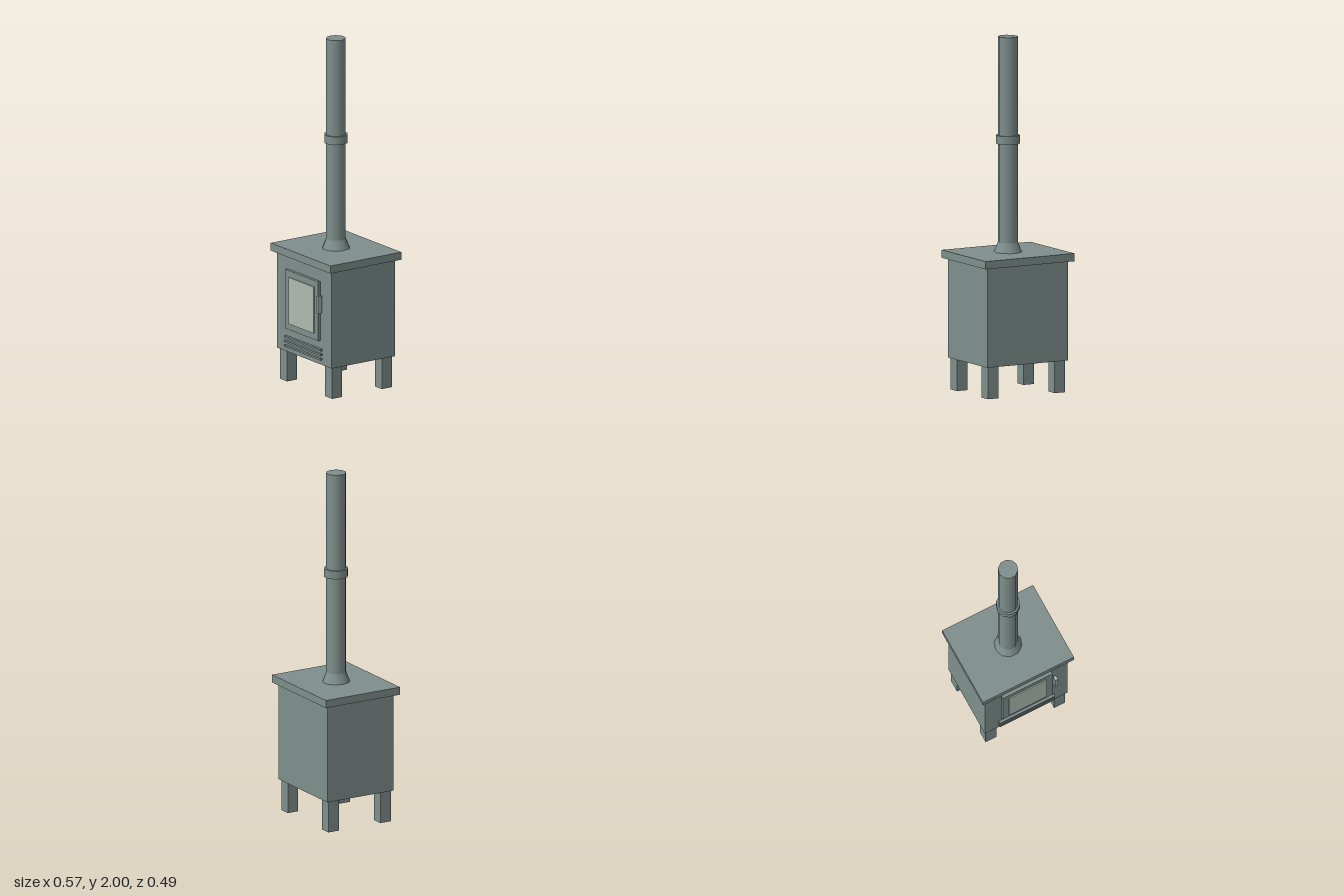
import * as THREE from 'three';

export function createModel() {
  const stove = new THREE.Group();
  stove.name = 'stove';

  const iron = new THREE.MeshStandardMaterial({ name: 'grey iron', color: 0x7f8f8d });
  const pane = new THREE.MeshStandardMaterial({ name: 'pale glass', color: 0xb0bab0 });
  const steel = new THREE.MeshStandardMaterial({ name: 'light steel', color: 0xa5b4af });

  const add = (name, geometry, material) => {
    const mesh = new THREE.Mesh(geometry, material);
    mesh.name = name;
    stove.add(mesh);
    return mesh;
  };

  // Box given by its extents on each axis
  const box = (name, [x0, x1], [y0, y1], [z0, z1], material = iron) =>
    add(name, new THREE.BoxGeometry(x1 - x0, y1 - y0, z1 - z0), material)
      .position.set((x0 + x1) / 2, (y0 + y1) / 2, (z0 + z1) / 2);

  const midZ = -0.005;

  // Ten-sided smooth round part on the flue axis, corners on the x axis
  const round = (name, bottom, top, y0, y1) =>
    add(name, new THREE.CylinderGeometry(top, bottom, y1 - y0, 10, 1, false, Math.PI / 10), iron)
      .position.set(0, (y0 + y1) / 2, midZ);

  // Firebox and top plate
  box('firebox', [-0.261, 0.261], [0.18, 0.741], [-0.222, 0.211]);
  box('topPlate', [-0.287, 0.287], [0.741, 0.785], [-0.248, 0.237]);

  // Four square legs
  for (const x of [-0.216, 0.216]) {
    for (const z of [midZ - 0.17, midZ + 0.17]) {
      box('leg', [x - 0.034, x + 0.034], [0, 0.18], [z - 0.034, z + 0.034]);
    }
  }

  // Door with glass and handle
  box('door', [-0.157, 0.157], [0.318, 0.661], [0.211, 0.228]);
  box('doorGlass', [-0.119, 0.119], [0.355, 0.624], [0.228, 0.235], pane);
  box('doorHandle', [0.164, 0.182], [0.482, 0.584], [0.22, 0.246], steel);

  // Air vent bars under the door
  for (const y of [0.214, 0.2405, 0.267]) {
    box('ventBar', [-0.174, 0.174], [y - 0.005, y + 0.005], [0.211, 0.226]);
  }

  // Flue: flared base, pipe and joint collar
  round('flueBase', 0.0785, 0.0567, 0.785, 0.84);
  round('fluePipe', 0.0567, 0.0567, 0.785, 2);
  round('flueCollar', 0.068, 0.068, 1.397, 1.444);

  return stove;
}
